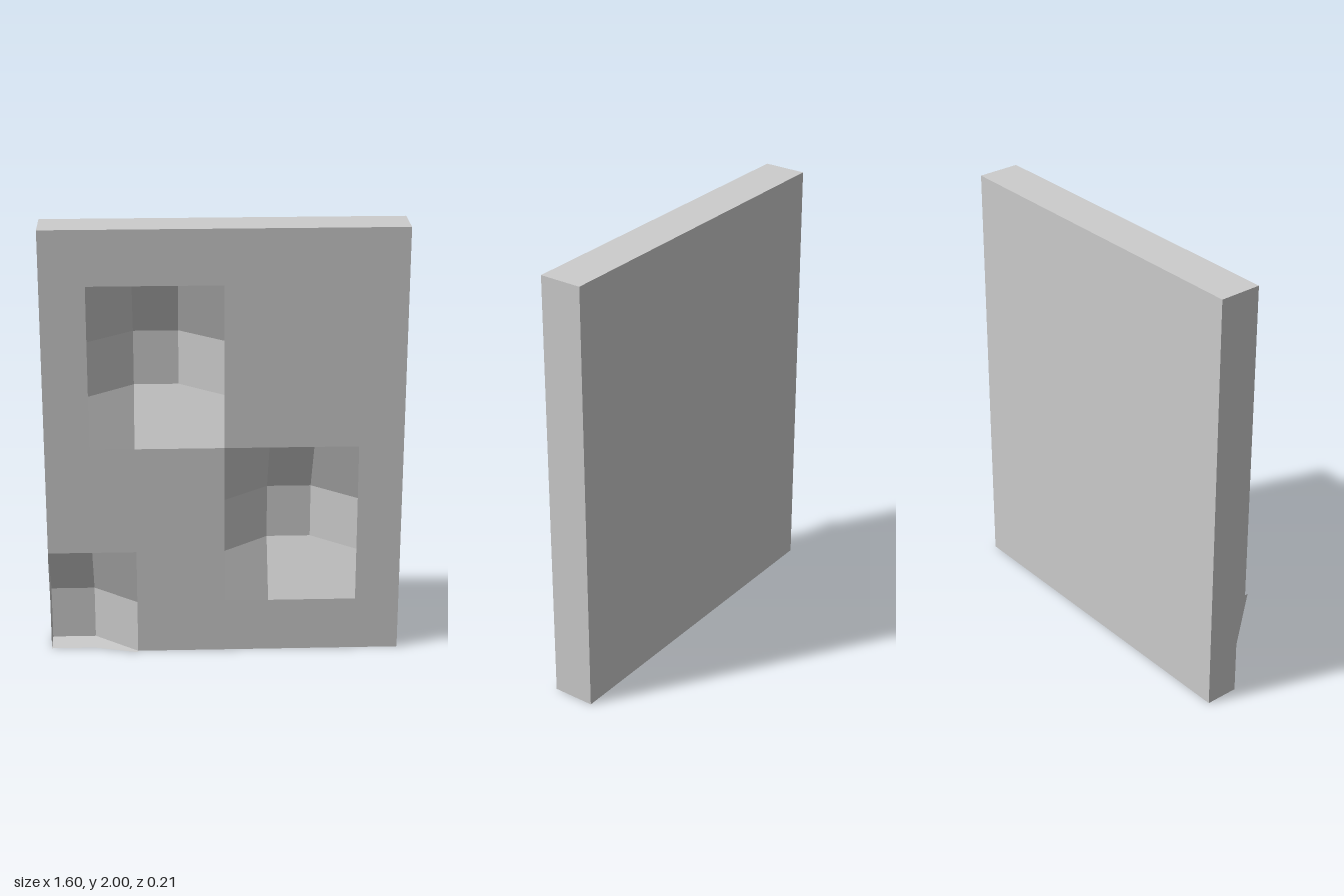
import * as THREE from 'three';

const BACK = -0.105, FRONT = 0.09, FLOOR = -0.07, RIM = 0.05, FIN = 0.105;
const W = 0.8, H = 2, COLS = 8, ROWS = 8;

// Lower-left grid corner of each three-by-three dent; the last runs off the slab's corner
const DENTS = [[1, 4], [4, 1], [-1, -1]];

// Depth of a grid point: the four inner points of each dent are pushed in
function depthAt(i, j) {
  const sunk = DENTS.some(([c, r]) =>
    (i === c + 1 || i === c + 2) && (j === r + 1 || j === r + 2));
  return sunk ? FLOOR : FRONT;
}

// Front skin: a grid of quads, each shaded with a single normal
function frontGeometry() {
  const positions = [], normals = [];
  const point = (i, j) => new THREE.Vector3(
    -W + (2 * W * i) / COLS, (H * j) / ROWS, depthAt(i, j));
  for (let j = 0; j < ROWS; j++) {
    for (let i = 0; i < COLS; i++) {
      const a = point(i, j), b = point(i + 1, j);
      const c = point(i + 1, j + 1), d = point(i, j + 1);
      const n = c.clone().sub(a).cross(d.clone().sub(b)).normalize();
      for (const p of [a, b, c, a, c, d]) {
        positions.push(p.x, p.y, p.z);
        normals.push(n.x, n.y, n.z);
      }
    }
  }
  const geometry = new THREE.BufferGeometry();
  geometry.setAttribute('position', new THREE.Float32BufferAttribute(positions, 3));
  geometry.setAttribute('normal', new THREE.Float32BufferAttribute(normals, 3));
  return geometry;
}

const flat = (points) => new THREE.ShapeGeometry(
  new THREE.Shape(points.map(([x, y]) => new THREE.Vector2(x, y))));

export function createModel() {
  const group = new THREE.Group();
  group.name = 'dentedSlab';
  const stone = new THREE.MeshStandardMaterial({ color: 0xcccccc, side: THREE.DoubleSide });
  stone.name = 'stoneGrey';

  const add = (name, geometry) => {
    const mesh = new THREE.Mesh(geometry, stone);
    mesh.name = name;
    group.add(mesh);
    return mesh;
  };

  add('dentedFront', frontGeometry());

  // Plain walls
  const thick = FRONT - BACK, mid = (FRONT + BACK) / 2;
  add('backWall', new THREE.PlaneGeometry(2 * W, H).rotateY(Math.PI).translate(0, H / 2, BACK));
  add('topWall', new THREE.PlaneGeometry(2 * W, thick).rotateX(-Math.PI / 2).translate(0, H, mid));
  add('leftWall', new THREE.PlaneGeometry(thick, H).rotateY(Math.PI / 2).translate(W, H / 2, mid));

  // Walls beside the corner dent: lowered rim ending in a small pointed fin
  add('rightWall', flat([
    [BACK, 0], [RIM, 0], [RIM, 0.25], [FIN, 0.5], [FRONT, 0.5], [FRONT, H], [BACK, H],
  ]).rotateY(-Math.PI / 2).translate(-W, 0, 0));
  add('bottomWall', flat([
    [-W, BACK], [W, BACK], [W, FRONT], [-0.4, FRONT], [-0.4, FIN], [-0.6, RIM], [-W, RIM],
  ]).rotateX(Math.PI / 2));

  return group;
}
